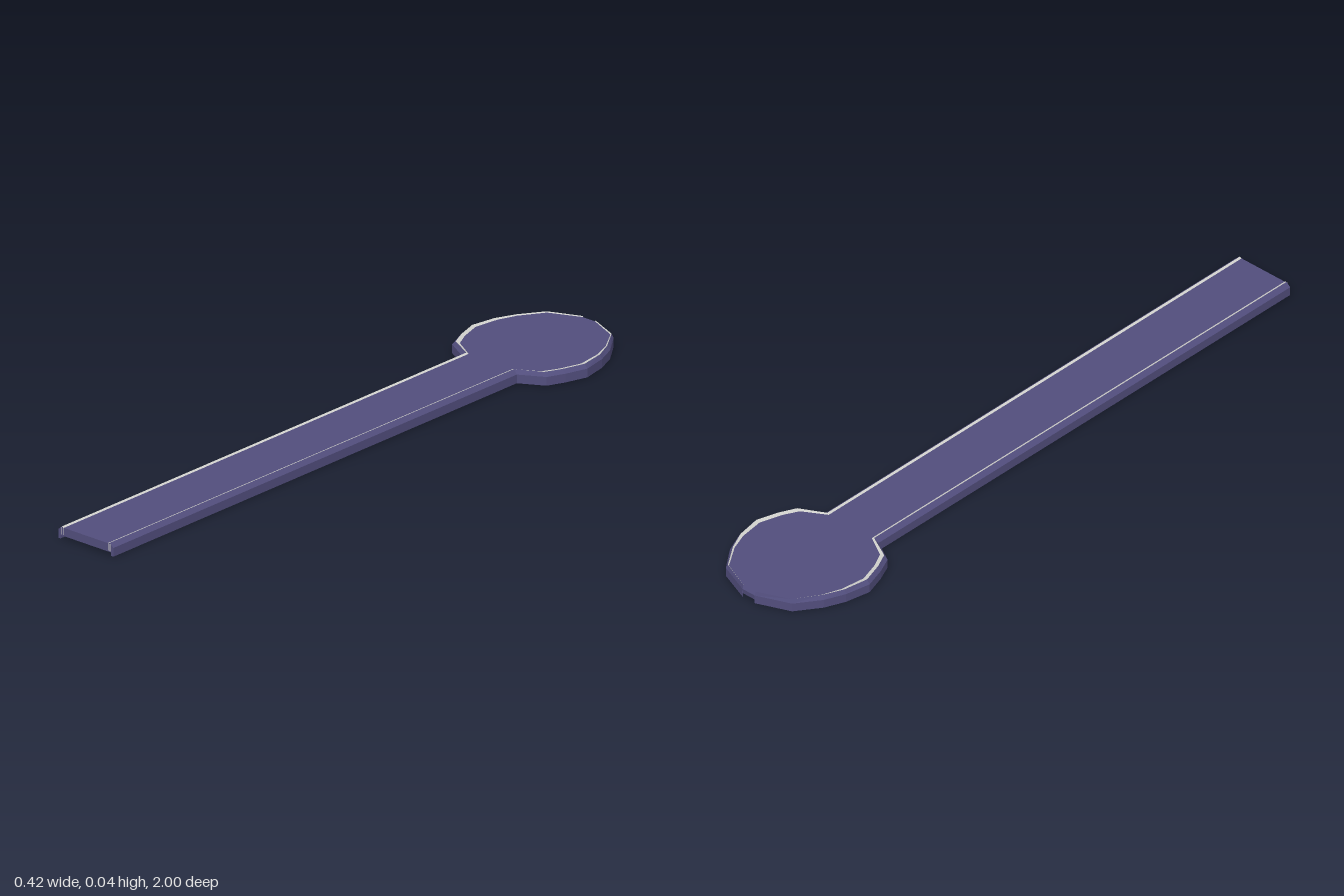
import * as THREE from 'three';

const violet = new THREE.MeshStandardMaterial({ color: 0x524e7d, side: THREE.DoubleSide });
violet.name = 'violet';
const paleGrey = new THREE.MeshStandardMaterial({ color: 0xd0d0cc, side: THREE.DoubleSide });
paleGrey.name = 'paleGrey';

// Half plans [x, z], from the handle end round to the back of the head
const outer = [[0.098, 1], [0.098, -0.6], [0.168, -0.64], [0.19, -0.69], [0.21, -0.755],
  [0.195, -0.83], [0.17, -0.89], [0.12, -0.96], [0.022, -1]];
const inner = [[0.078, 1], [0.078, -0.605], [0.145, -0.645], [0.168, -0.69], [0.188, -0.755],
  [0.178, -0.83], [0.158, -0.885], [0.113, -0.955], [0.022, -0.995]];

const mirror = (pts) => pts.map(([x, z]) => [-x, z]).reverse();
const blend = (amount) => outer.map(([x, z], i) => {
  const t = amount(i);
  return [x + (inner[i][0] - x) * t, z + (inner[i][1] - z) * t];
});

const FLOOR = 0.01, SHOULDER = 0.025, SHEET = 0.0337, CREST = 0.0362;
// The lip is wider along the sides of the head
const crest = blend((i) => (i >= 2 && i <= 5 ? 0.45 : 0.66));
const foot = blend(() => 0.4);

function part(name, geometry, material) {
  const mesh = new THREE.Mesh(geometry, material);
  mesh.name = name;
  return mesh;
}

// Flat-faced band between two plans at two heights
function band(name, a, ya, b, yb, material) {
  const p = [];
  for (let i = 0; i + 1 < a.length; i++) {
    const a0 = [a[i][0], ya, a[i][1]], a1 = [a[i + 1][0], ya, a[i + 1][1]];
    const b0 = [b[i][0], yb, b[i][1]], b1 = [b[i + 1][0], yb, b[i + 1][1]];
    p.push(...a0, ...a1, ...b1, ...a0, ...b1, ...b0);
  }
  const geometry = new THREE.BufferGeometry();
  geometry.setAttribute('position', new THREE.Float32BufferAttribute(p, 3));
  geometry.computeVertexNormals();
  return part(name, geometry, material);
}

// Flat face from a mirrored half outline
function face(half) {
  const pts = [...half, ...mirror(half)].map(([x, y]) => new THREE.Vector2(x, y));
  return new THREE.ShapeGeometry(new THREE.Shape(pts));
}

// Level face covering a plan at one height
function level(name, plan, y, turn) {
  const geometry = face(plan.map(([x, z]) => [x, -turn * z]));
  geometry.rotateX(-turn * Math.PI / 2).translate(0, y, 0);
  return part(name, geometry, violet);
}

export function createModel() {
  const model = new THREE.Group();
  model.name = 'paddle';

  // Slab filling the handle and round head
  model.add(level('topSheet', inner, SHEET, 1));
  model.add(level('floorSheet', foot, FLOOR, -1));

  for (const side of ['left', 'right']) {
    const s = (pts) => (side === 'left' ? pts : mirror(pts));

    // Rim: skirt, bevel, pale inner lip and foot
    model.add(band(side + 'Skirt', s(outer), 0, s(outer), SHOULDER, violet));
    model.add(band(side + 'Bevel', s(outer), SHOULDER, s(crest), CREST, violet));
    model.add(band(side + 'Lip', s(crest), CREST, s(inner), SHEET, paleGrey));
    model.add(band(side + 'Foot', s(outer), 0, s(foot), 0, violet));
    model.add(band(side + 'FootWall', s(foot), 0, s(foot), FLOOR, violet));

    // Pale edging under the sides of the head
    const sides = (pts) => s(pts.slice(2, 7));
    model.add(band(side + 'UnderEdging', sides(foot), FLOOR - 0.001,
      sides(inner), FLOOR - 0.001, paleGrey));

    // Pale edges of the lip seen at the handle end
    for (const x of [0.08, 0.0865]) {
      const mark = new THREE.PlaneGeometry(0.0025, 0.021);
      mark.translate(side === 'left' ? x : -x, 0.0235, 1.0005);
      model.add(part(side + 'EndMark', mark, paleGrey));
    }
  }

  // Handle end, following the cross-section of slab and rim
  const end = face([[0.09, FLOOR], [0.09, 0], [0.098, 0], [0.098, SHOULDER],
    [crest[0][0], CREST], [0.078, SHEET]]);
  end.translate(0, 0, 1);
  model.add(part('handleEnd', end, violet));

  // Back of the head, where the rim leaves a gap
  const backRow = (z) => [[0.022, z], [-0.022, z]];
  model.add(band('backSkirt', backRow(-0.998), FLOOR, backRow(-1), SHOULDER, violet));
  model.add(band('backBevel', backRow(-1), SHOULDER, backRow(-0.995), SHEET, violet));
  return model;
}
